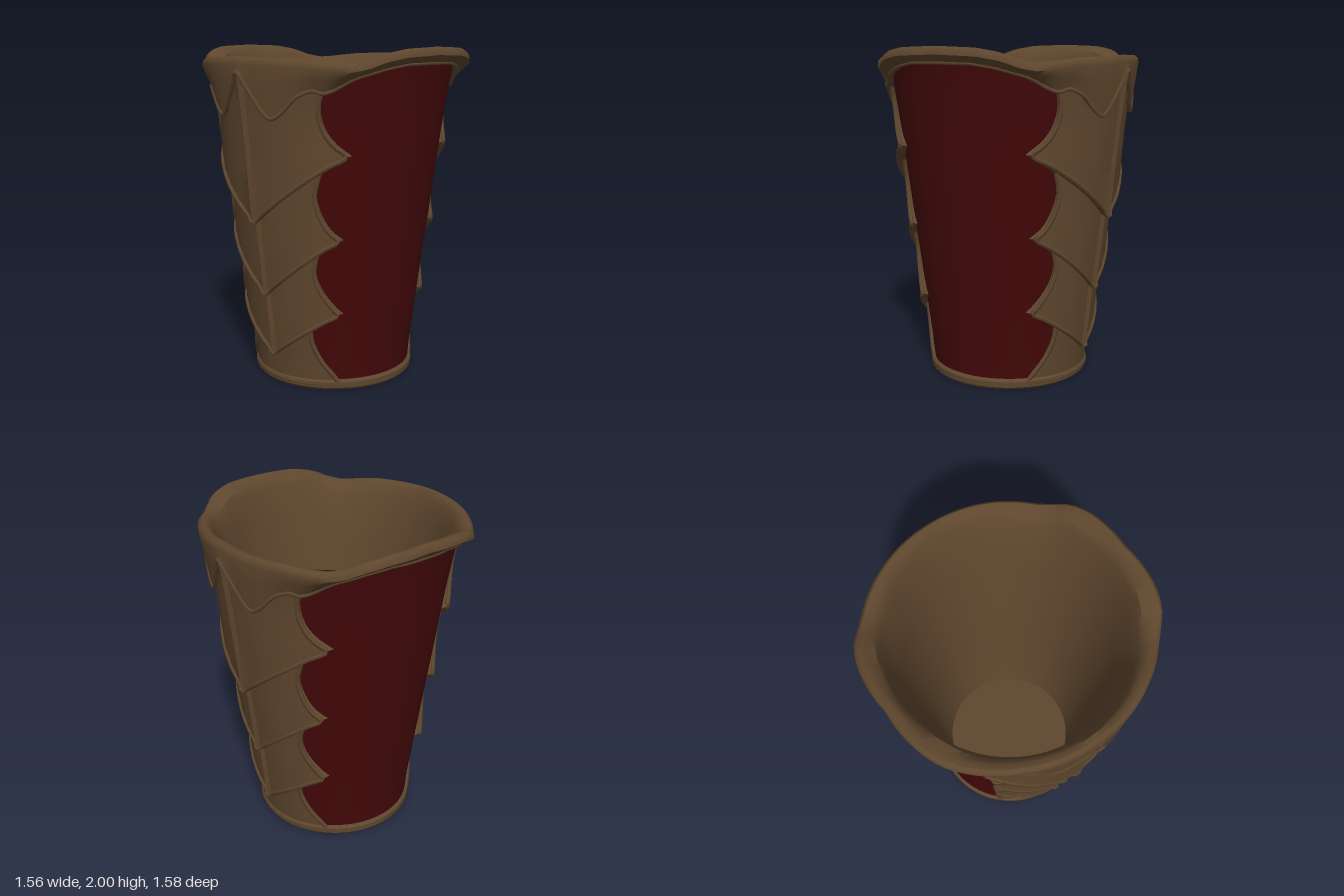
import * as THREE from 'three';
import { toCreasedNormals } from 'three/addons/utils/BufferGeometryUtils.js';

const brown = new THREE.MeshStandardMaterial({ color: 0x5f472e });
brown.name = 'brown hide';
brown.side = THREE.DoubleSide;
const red = new THREE.MeshStandardMaterial({ color: 0x440809 });
red.name = 'dark red';

const lerp = THREE.MathUtils.lerp;

// Piecewise-linear lookup through [input, output] pairs
function lookup(table, v) {
  if (v <= table[0][0]) return table[0][1];
  for (let i = 1; i < table.length; i++) {
    const [a, fa] = table[i - 1], [b, fb] = table[i];
    if (v <= b) return lerp(fa, fb, (v - a) / (b - a));
  }
  return table[table.length - 1][1];
}

// Radius of the cup wall by height
const WALL = [[0.04, 0.472], [0.2, 0.485], [0.6, 0.535], [1, 0.587], [1.4, 0.637], [1.6, 0.664], [1.8, 0.695], [1.86, 0.71], [1.91, 0.72]];
const wall = (y) => lookup(WALL, y);

// Surface through rows of points, each row running left to right, rows going up
function loft(rows, crease = 0.5) {
  const n = rows[0].length, index = [];
  for (let i = 0; i < rows.length - 1; i++) {
    for (let j = 0; j < n - 1; j++) {
      const a = i * n + j, b = a + 1, c = a + n, d = c + 1;
      index.push(a, b, d, a, d, c);
    }
  }
  const g = new THREE.BufferGeometry().setFromPoints(rows.flat());
  g.setIndex(index);
  return toCreasedNormals(g, crease);
}

function mesh(name, geometry, material) {
  const m = new THREE.Mesh(geometry, material);
  m.name = name;
  return m;
}

function lip(points, radius, closed = false) {
  const path = new THREE.CatmullRomCurve3(points, closed);
  return new THREE.TubeGeometry(path, points.length * 3, radius, 5, closed);
}

// Point on the front at a given x, raised off the wall
function onWall(x, y, offset) {
  const r = wall(y) + offset;
  return new THREE.Vector3(x, y, Math.sqrt(r * r - x * x));
}

// Overlapping scale: keel down the middle, pointed tips at both sides
function scale({ name, bottom, top, side, keel, ridge = 0.018, edge = 0.03 }) {
  const group = new THREE.Group();
  group.name = name;
  const sideCurve = new THREE.CatmullRomCurve3(side.map(([x, y]) => new THREE.Vector3(x, y, 0)));
  const cols = [-1, -0.85, -0.65, -0.45, -0.25, -0.06, 0, 0.06, 0.25, 0.45, 0.65, 0.85, 1];
  const at = (s, t, sunk = false) => {
    const e = sideCurve.getPoint(t), k = Math.abs(s);
    const y = lerp(lerp(bottom, top, t), e.y, k);
    const edgeOffset = lerp(edge, 0.012, t);
    const bulge = lerp(keel[0], keel[1], t) - ridge - edgeOffset;
    const offset = edgeOffset + bulge * (1 - k * k) + (s === 0 ? ridge : 0);
    return onWall(s * e.x, y, sunk ? -0.01 : offset);
  };
  const row = (t, sunk) => [at(-1, t, true), ...cols.map((s) => at(s, t, sunk)), at(1, t, true)];
  const rows = [row(0, true)];
  const steps = 12;
  for (let i = 0; i <= steps; i++) rows.push(row(i / steps, false));
  group.add(mesh('scalePlate', loft(rows), brown));

  const left = [], right = [];
  for (let i = 1; i <= 8; i++) {
    left.unshift(at(-1, i / 8));
    right.push(at(1, i / 8));
  }
  const path = [...left, ...cols.map((s) => at(s, 0)), ...right];
  group.add(mesh('scaleLip', lip(path, 0.015), brown));
  return group;
}

const SCALES = [
  {
    name: 'basePanel', bottom: 0.04, top: 0.42, keel: [0.012, 0.02], ridge: 0, edge: 0.008,
    side: [[0.35, 0.04], [0.325, 0.1], [0.28, 0.18], [0.24, 0.3], [0.24, 0.42]],
  },
  {
    name: 'lowerScale', bottom: 0.2, top: 0.84, keel: [0.06, 0.045],
    side: [[0.39, 0.49], [0.355, 0.55], [0.31, 0.65], [0.295, 0.75], [0.32, 0.86]],
  },
  {
    name: 'middleScale', bottom: 0.58, top: 1.28, keel: [0.073, 0.06],
    side: [[0.43, 0.94], [0.385, 1], [0.35, 1.1], [0.34, 1.2], [0.37, 1.32]],
  },
  {
    name: 'upperScale', bottom: 1.02, top: 1.86, keel: [0.095, 0.073],
    side: [[0.5, 1.42], [0.435, 1.51], [0.405, 1.6], [0.405, 1.7], [0.45, 1.83]],
  },
];

// Rim tables, by degrees away from the front or back centre
const RIM_TOP = [[0, 1.95], [30, 1.94], [48, 1.915], [55, 1.93], [62, 1.968], [72, 1.992], [90, 2]];
const RIM_OUT = [[0, 0.765], [30, 0.775], [50, 0.79], [61, 0.812], [68, 0.808], [90, 0.775]];
const COLLAR_LOW = [[0, 1.86], [5, 1.77], [12, 1.64], [16, 1.61], [21, 1.66], [27, 1.74], [33, 1.775],
  [37, 1.755], [42, 1.77], [51, 1.835], [65, 1.885], [75, 1.905], [90, 1.908]];
const COLLAR_LIFT = [[0, 0.07], [16, 0.07], [30, 0.05], [45, 0.028], [90, 0.012]];

// Collar, rolled rim, inner wall and floor as one lofted skin
function collarAndLining() {
  const group = new THREE.Group();
  group.name = 'collarAndLining';
  const columns = [], hem = [];
  const count = 96;
  for (let j = 0; j <= count; j++) {
    const deg = (j / count) * 360;
    const half = deg % 180;
    const d = half > 90 ? 180 - half : half;
    const top = lookup(RIM_TOP, d), out = lookup(RIM_OUT, d);
    const low = lookup(COLLAR_LOW, d), lift = lookup(COLLAR_LIFT, d);
    const start = wall(low) + lift, brim = Math.max(top - 0.045, low + 0.02);
    const profile = [
      [wall(low) - 0.005, low], [start, low + 0.003],
      [lerp(start, out, 0.65), lerp(low, brim, 0.6)],
      [out, brim], [out - 0.004, top - 0.015], [out - 0.022, top],
      [out - 0.05, top - 0.004], [0.698, top - 0.03], [0.68, top - 0.08], [0.652, 1.78],
      [0.605, 1.5], [0.543, 1.1], [0.49, 0.7], [0.444, 0.3], [0.41, 0.1], [0.001, 0.1],
    ];
    const a = THREE.MathUtils.degToRad(deg);
    const place = ([r, y]) => new THREE.Vector3(r * Math.sin(a), y, r * Math.cos(a));
    columns.push(profile.map(place));
    if (j < count) hem.push(place([start, low + 0.005]));
  }
  const rows = columns[0].map((_, i) => columns.map((c) => c[i]));
  group.add(mesh('collarSkin', loft(rows, 0.8), brown));
  group.add(mesh('collarHem', lip(hem, 0.012, true), brown));
  return group;
}

export function createModel() {
  const cup = new THREE.Group();
  cup.name = 'cup';

  // Red wall of the cup
  const wallProfile = WALL.map(([y, r]) => new THREE.Vector2(r, y));
  cup.add(mesh('cupWall', new THREE.LatheGeometry(wallProfile, 64), red));

  // Foot ring with closed underside
  const footProfile = [[0, 0.005], [0.478, 0.005], [0.492, 0.02], [0.494, 0.055], [0.484, 0.068], [0.465, 0.07]]
    .map(([r, y]) => new THREE.Vector2(r, y));
  cup.add(mesh('footRing', toCreasedNormals(new THREE.LatheGeometry(footProfile, 40), 0.6), brown));

  cup.add(collarAndLining());

  // Stacks of scales on the front and the back
  for (const name of ['frontScales', 'backScales']) {
    const stack = new THREE.Group();
    stack.name = name;
    SCALES.forEach((s) => stack.add(scale(s)));
    if (name === 'backScales') stack.rotation.y = Math.PI;
    cup.add(stack);
  }
  return cup;
}
